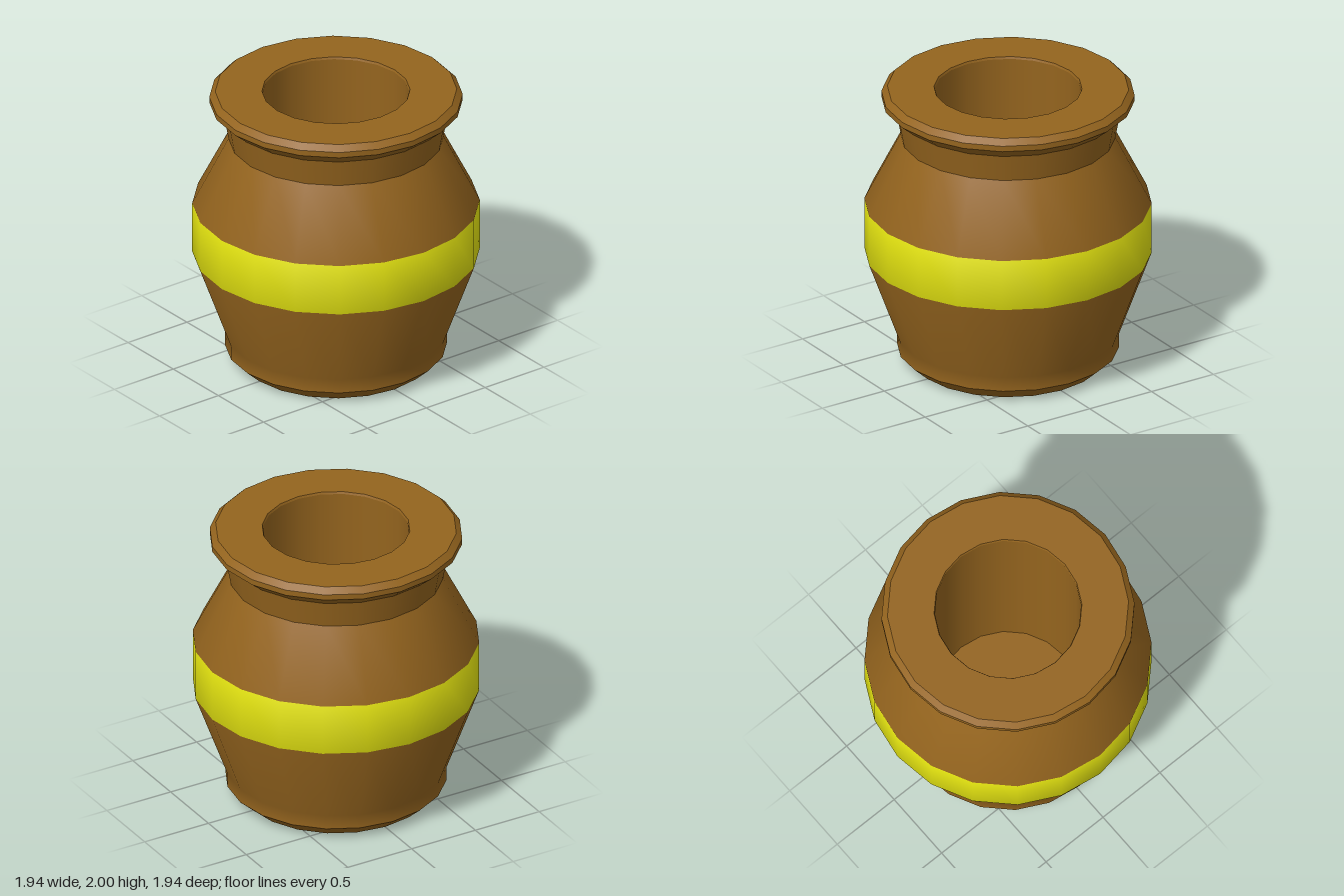
import * as THREE from 'three';

const SIDES = 20;
const brown = new THREE.MeshStandardMaterial({ color: 0x94641e });
const yellow = new THREE.MeshStandardMaterial({ color: 0xe2e210 });

// Lathe a [radius, height] profile, keeping only rows from..to so that
// neighbouring parts share the same smooth normals at their seam.
function turned(name, material, profile, from = 0, to = profile.length - 1) {
  const geometry = new THREE.LatheGeometry(profile.map(([r, y]) => new THREE.Vector2(r, y)), SIDES);
  const rows = profile.length - 1;
  const index = Array.from(geometry.index.array).filter((_, k) => {
    const row = Math.floor(k / 6) % rows;
    return row >= from && row < to;
  });
  geometry.setIndex(index);
  const mesh = new THREE.Mesh(geometry, material);
  mesh.name = name;
  return mesh;
}

export function createModel() {
  const jar = new THREE.Group();
  jar.name = 'jar';

  // Foot, with hard edges
  jar.add(turned('base', brown, [[0, 0], [0.65, 0]]));
  jar.add(turned('footBevel', brown, [[0.65, 0], [0.75, 0.09]]));

  // Belly: smooth from foot to shoulder, with the painted band around the middle
  const belly = [[0.75, 0.09], [0.75, 0.19], [0.97, 0.795], [0.97, 1.16], [0.725, 1.645]];
  jar.add(turned('lowerBody', brown, belly, 0, 2));
  jar.add(turned('band', yellow, belly, 2, 3));
  jar.add(turned('shoulder', brown, belly, 3, 4));

  // Neck, lip and hollow, one hard-edged ring per step
  const upper = [
    ['neck', 0.725, 1.645], ['lipUnderside', 0.76, 1.84], ['lipEdge', 0.855, 1.92],
    ['lipBevel', 0.855, 1.96], ['rim', 0.815, 2], ['mouthBevel', 0.5, 2],
    ['innerWall', 0.494, 1.985], ['innerFloor', 0.494, 0.2], ['', 0, 0.2],
  ];
  for (let i = 0; i < upper.length - 1; i++) {
    const [name, r, y] = upper[i];
    jar.add(turned(name, brown, [[r, y], upper[i + 1].slice(1)]));
  }
  return jar;
}
